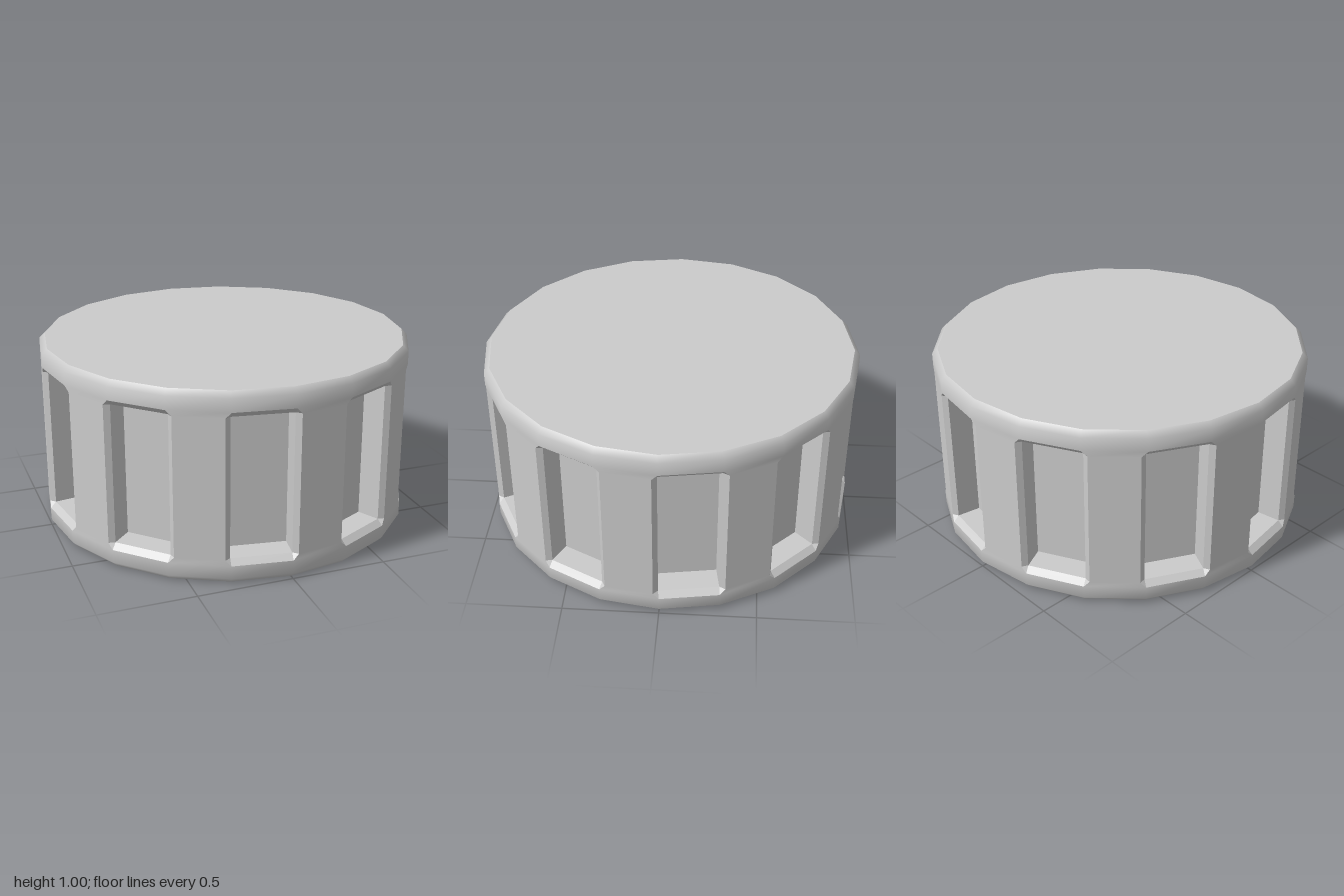
import * as THREE from 'three';
import { mergeGeometries, mergeVertices } from 'three/addons/utils/BufferGeometryUtils.js';

const SIDES = 20, STEP = (Math.PI * 2) / SIDES;
const H = 1, BEVEL = 0.03, DEPTH = 0.155;
const LOW = 0.1, HIGH = H - LOW; // recess opening, outer edge

const rim = (k, r = 1) => new THREE.Vector3(Math.sin(k * STEP) * r, 0, Math.cos(k * STEP) * r);
const at = (p, y) => new THREE.Vector3(p.x, y, p.z);
const toward = (p, q, d) => p.clone().addScaledVector(q.clone().sub(p).normalize(), d);

// Quad in counter-clockwise order; collapses to a triangle when c and d match
function quad(out, a, b, c, d) {
  out.push(a, b, c);
  if (!c.equals(d)) out.push(a, c, d);
}

// Strip joining two closed loops, outer to inner
function bridge(out, outer, inner) {
  outer.forEach((p, i) => {
    const j = (i + 1) % outer.length;
    quad(out, p, outer[j], inner[j], inner[i]);
  });
}

// Repeat one module around the axis
function around(points) {
  const one = new THREE.BufferGeometry().setFromPoints(points);
  const copies = [];
  for (let i = 0; i < SIDES / 2; i++) copies.push(one.clone().rotateY(i * 2 * STEP));
  return mergeGeometries(copies);
}

export function createModel() {
  const group = new THREE.Group();
  const material = new THREE.MeshStandardMaterial({ color: 0xcccccc });
  const add = (name, geometry) => {
    const mesh = new THREE.Mesh(geometry, material);
    mesh.name = name;
    group.add(mesh);
    return mesh;
  };

  // One module: recessed facet A-B followed by plain facet B-C
  const A = rim(-1), B = rim(0), C = rim(1);
  const A2 = toward(A, rim(-2), BEVEL), B2 = toward(B, C, BEVEL), C2 = toward(C, B, BEVEL);
  const r = 1 - BEVEL;

  // Outer wall: rows of [left, right, height] for each facet
  const shell = [];
  const strip = (rows) => {
    for (let i = 0; i + 1 < rows.length; i++) {
      const [l0, r0, y0] = rows[i], [l1, r1, y1] = rows[i + 1];
      quad(shell, at(l0, y0), at(r0, y0), at(r1, y1), at(l1, y1));
    }
  };
  const a = rim(-1, r), b = rim(0, r), c = rim(1, r);
  strip([[a, b, 0], [A, B, BEVEL], [A, B, LOW]]);
  strip([[A, B, HIGH], [A, B, H - BEVEL], [a, b, H]]);
  strip([
    [b, c, 0], [B, C, BEVEL], [B, C, LOW], [B2, C2, LOW + BEVEL],
    [B2, C2, HIGH - BEVEL], [B, C, HIGH], [B, C, H - BEVEL], [b, c, H],
  ]);
  const wall = mergeVertices(around(shell), 1e-4);
  wall.computeVertexNormals();
  add('outerWall', wall);

  // Recess: chamfered mouth, straight walls and flat floor
  const recess = [];
  const inward = rim(-0.5).negate();
  const y0 = LOW + BEVEL, y1 = HIGH - BEVEL;
  const rect = (depth) => {
    const p = A.clone().addScaledVector(inward, depth), q = B.clone().addScaledVector(inward, depth);
    return [at(p, y0), at(q, y0), at(q, y1), at(p, y1)];
  };
  const mouth = [
    at(A, LOW), at(B, LOW), at(B2, y0), at(B2, y1),
    at(B, HIGH), at(A, HIGH), at(A2, y1), at(A2, y0),
  ];
  const lip = rect(BEVEL), floor = rect(DEPTH);
  bridge(recess, mouth, [0, 1, 1, 2, 2, 3, 3, 0].map((i) => lip[i]));
  bridge(recess, lip, floor);
  quad(recess, ...floor);
  const recesses = around(recess);
  recesses.computeVertexNormals();
  add('gripRecesses', recesses);

  // Flat top and bottom
  const disc = new THREE.CircleGeometry(r, SIDES);
  add('topFace', disc.clone().rotateX(-Math.PI / 2).translate(0, H, 0));
  add('bottomFace', disc.clone().rotateX(Math.PI / 2));

  return group;
}
